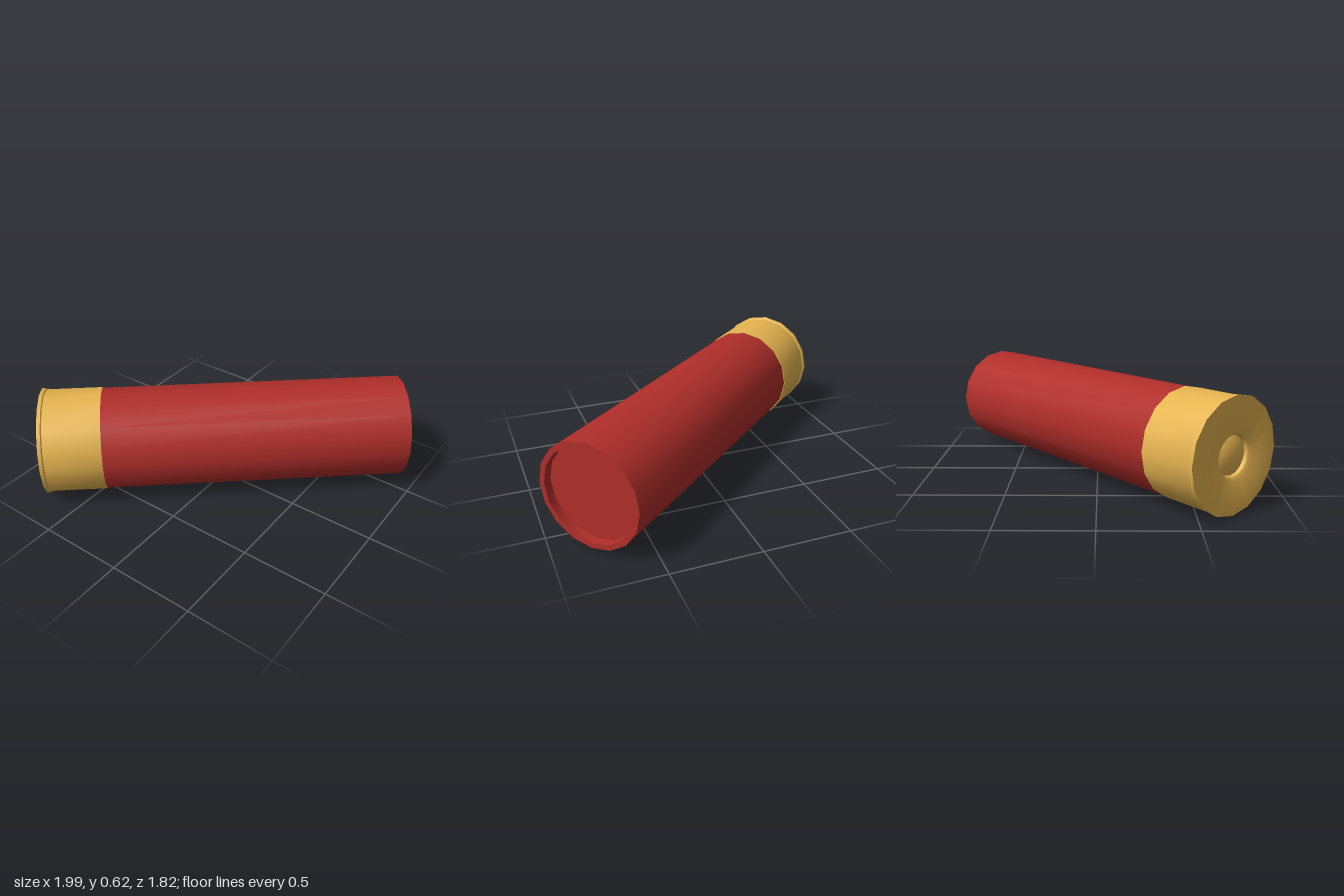
import * as THREE from 'three';
import { toCreasedNormals } from 'three/addons/utils/BufferGeometryUtils.js';

const SIDES = 16;

// Turns a [radius, height] profile around the long axis, keeping hard edges sharp
function turned(name, color, profile) {
  const points = profile.map(([r, h]) => new THREE.Vector2(r, h));
  const geometry = toCreasedNormals(new THREE.LatheGeometry(points, SIDES), 0.6);
  const mesh = new THREE.Mesh(geometry, new THREE.MeshStandardMaterial({ color }));
  mesh.name = name;
  return mesh;
}

export function createModel() {
  const brass = 0xe6b450, red = 0xb02e2a;
  const model = new THREE.Group();
  model.name = 'shotgunShell';

  const shell = new THREE.Group();
  shell.name = 'shell';

  // Domed primer sitting in the recess of the base
  shell.add(turned('primer', brass, [
    [0, 0.003], [0.04, 0.006], [0.075, 0.014], [0.105, 0.03],
  ]));

  // Brass cup: recess, flat base, rim and sleeve
  shell.add(turned('brassHead', brass, [
    [0.105, 0.03], [0.11, 0.012], [0.13, 0], [0.309, 0],
    [0.309, 0.02], [0.302, 0.026], [0.302, 0.348], [0.296, 0.348],
  ]));

  // Hull with an open lip and a recessed closing disc
  shell.add(turned('hull', red, [
    [0.298, 0.33], [0.298, 2.1], [0.268, 2.1], [0.268, 2.05], [0, 2.05],
  ]));

  // Lay the shell down, base towards the front right
  shell.children.forEach((part) => part.geometry.translate(0, -1.05, 0).rotateX(-Math.PI / 2));
  shell.rotation.y = -Math.atan2(1.6, 1.36);
  shell.position.y = 0.315;
  model.add(shell);
  return model;
}
